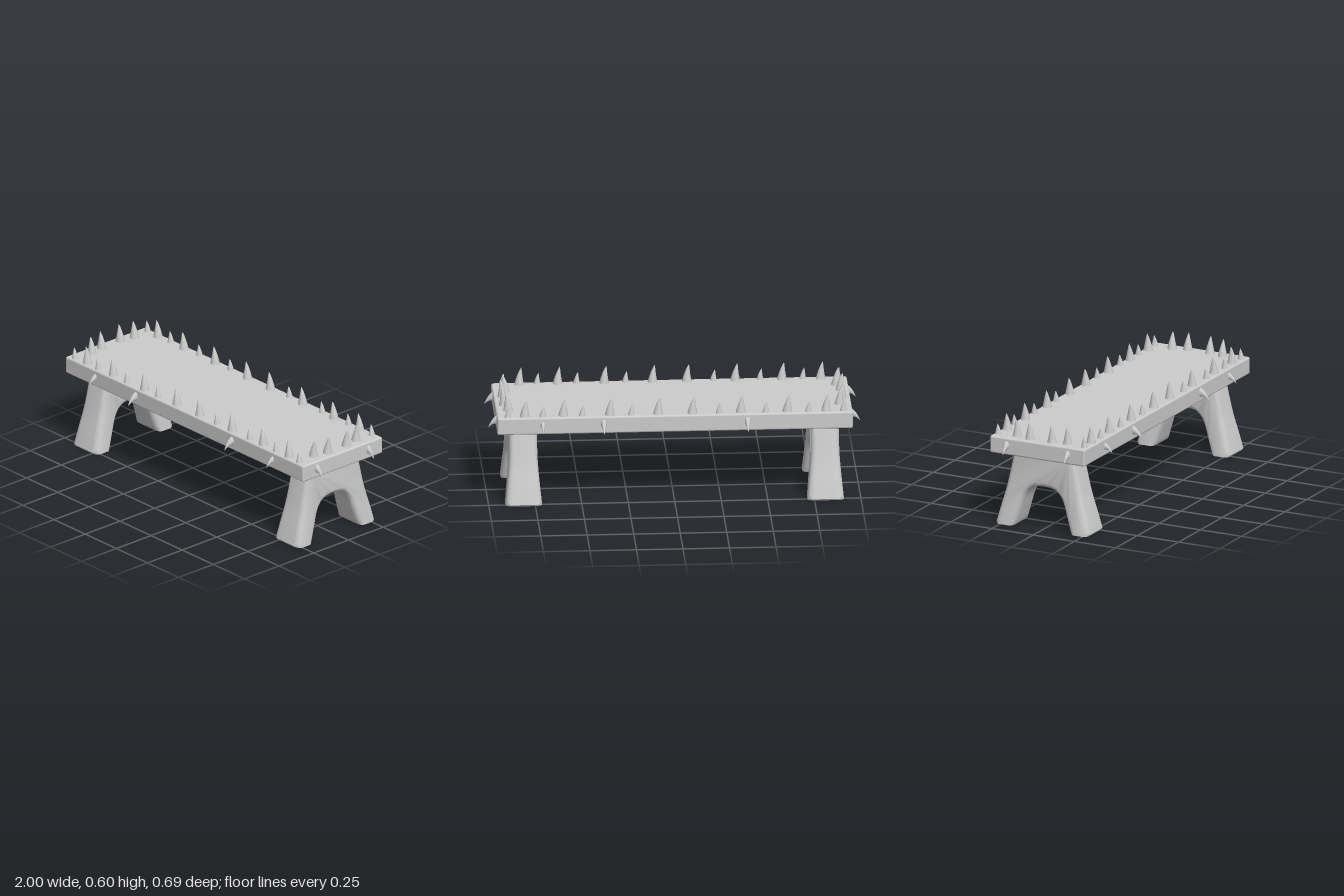
import * as THREE from 'three';
import { mergeVertices, toCreasedNormals } from 'three/addons/utils/BufferGeometryUtils.js';
import { RoundedBoxGeometry } from 'three/addons/geometries/RoundedBoxGeometry.js';

const material = new THREE.MeshStandardMaterial({ color: 0xcccccc });
const TOP = 0.505, HALF_X = 0.955, HALF_Z = 0.287;

// Curved spike standing on y = 0, its tip drifting toward +z
function hornGeometry(radius, height, bend) {
  const geo = new THREE.ConeGeometry(radius, height, 10, 7, true).translate(0, height / 2, 0);
  geo.deleteAttribute('uv');
  geo.deleteAttribute('normal');
  const p = geo.attributes.position;
  for (let i = 0; i < p.count; i++) {
    const t = Math.min(1, Math.max(0, p.getY(i) / height));
    const swell = t < 0.999 ? Math.pow(1 - t, -0.2) : 1;
    p.setX(i, p.getX(i) * swell);
    p.setZ(i, p.getZ(i) * swell + bend * t * t);
  }
  const merged = mergeVertices(geo, 1e-5);
  merged.computeVertexNormals();
  return merged;
}

// Arched trestle leg: side outline extruded along x, flared toward the feet
function legGeometry() {
  const v = (z, y) => new THREE.Vector2(z, y);
  const outer = new THREE.SplineCurve([
    v(0.283, 0.012), v(0.26, 0.1), v(0.231, 0.2), v(0.208, 0.3), v(0.183, 0.41), v(0.175, 0.45),
  ]).getPoints(16);
  const inner = new THREE.SplineCurve([
    v(0, 0.237), v(0.04, 0.234), v(0.075, 0.222), v(0.103, 0.194), v(0.122, 0.155),
    v(0.138, 0.105), v(0.168, 0.012),
  ]).getPoints(22);
  const half = [...inner, v(0.174, -0.03), v(0.277, -0.03), ...outer];
  const mirrored = half.slice(1).reverse().map((q) => v(-q.x, q.y));
  const bevel = 0.028, width = 0.15;
  const geo = new THREE.ExtrudeGeometry(new THREE.Shape([...half, ...mirrored]), {
    depth: width - 2 * bevel, bevelEnabled: true, bevelThickness: bevel,
    bevelSize: bevel, bevelOffset: -bevel, bevelSegments: 5,
  });
  geo.translate(0, 0, bevel - width / 2).rotateY(Math.PI / 2);
  const p = geo.attributes.position;
  for (let i = 0; i < p.count; i++) {
    const y = Math.max(0.003, p.getY(i));
    const flare = 1 + 0.32 * Math.pow(Math.max(0, (0.29 - y) / 0.29), 1.3);
    p.setXYZ(i, p.getX(i) * flare, y - 0.003, p.getZ(i));
  }
  return toCreasedNormals(geo, 0.7);
}

export function createModel() {
  const model = new THREE.Group();
  const add = (name, geo, x, y, z, yaw = 0, parent = model) => {
    const mesh = new THREE.Mesh(geo, material);
    mesh.name = name;
    mesh.position.set(x, y, z);
    mesh.rotation.y = yaw;
    parent.add(mesh);
    return mesh;
  };

  // Seat slab
  add('seat', new RoundedBoxGeometry(2 * HALF_X, 0.095, 2 * HALF_Z, 3, 0.01), 0, TOP - 0.0475, 0);

  // Legs
  const leg = legGeometry();
  add('rightLeg', leg, -0.811, 0, 0);
  add('leftLeg', leg, 0.811, 0, 0);

  // Spikes around the rim of the seat
  const rim = new THREE.Group();
  rim.name = 'rimSpikes';
  model.add(rim);
  const large = hornGeometry(0.027, 0.099, 0.012);
  const small = hornGeometry(0.019, 0.064, 0.008);
  const largeX = [-0.813, -0.605, -0.354, -0.094, 0.09, 0.35, 0.6, 0.807];
  const smallX = [-0.905, -0.718, -0.488, -0.238, 0.235, 0.498, 0.71, 0.897];
  for (const side of [-1, 1]) {
    for (const x of largeX) add('largeRimSpike', large, x, TOP - 0.003, side * 0.254, -Math.PI / 2, rim);
    for (const x of smallX) add('smallRimSpike', small, x, TOP - 0.003, side * 0.261, -Math.PI / 2, rim);
    for (const [x, z] of [[0.908, 0.067], [0.89, 0.153]]) {
      for (const s of [-1, 1]) add('endRimSpike', large, side * x, TOP - 0.003, s * z, side * Math.PI / 2, rim);
    }
  }

  // Spikes on the vertical faces, pointing outward and hooking down
  const edge = new THREE.Group();
  edge.name = 'edgeSpikes';
  model.add(edge);
  const sideHorn = hornGeometry(0.027, 0.061, 0.044).scale(0.65, 1, 1).rotateX(Math.PI / 2);
  const smallSideHorn = sideHorn.clone().scale(0.82, 0.82, 0.82);
  const endHorn = sideHorn.clone().scale(1, 1, 0.82);
  const y = 0.464, sink = 0.005;
  for (const [x, geo] of [[-0.39, sideHorn], [0.383, sideHorn], [0.71, smallSideHorn]]) {
    add('frontEdgeSpike', geo, x, y, HALF_Z - sink, 0, edge);
    add('backEdgeSpike', geo, x, y, sink - HALF_Z, Math.PI, edge);
  }
  add('frontEdgeSpike', smallSideHorn, -0.715, y, HALF_Z - sink, 0, edge);
  for (const z of [-0.185, 0.185]) {
    add('leftEdgeSpike', endHorn, HALF_X - sink, y, z, Math.PI / 2, edge);
    add('rightEdgeSpike', endHorn, sink - HALF_X, y, z, -Math.PI / 2, edge);
  }
  return model;
}
